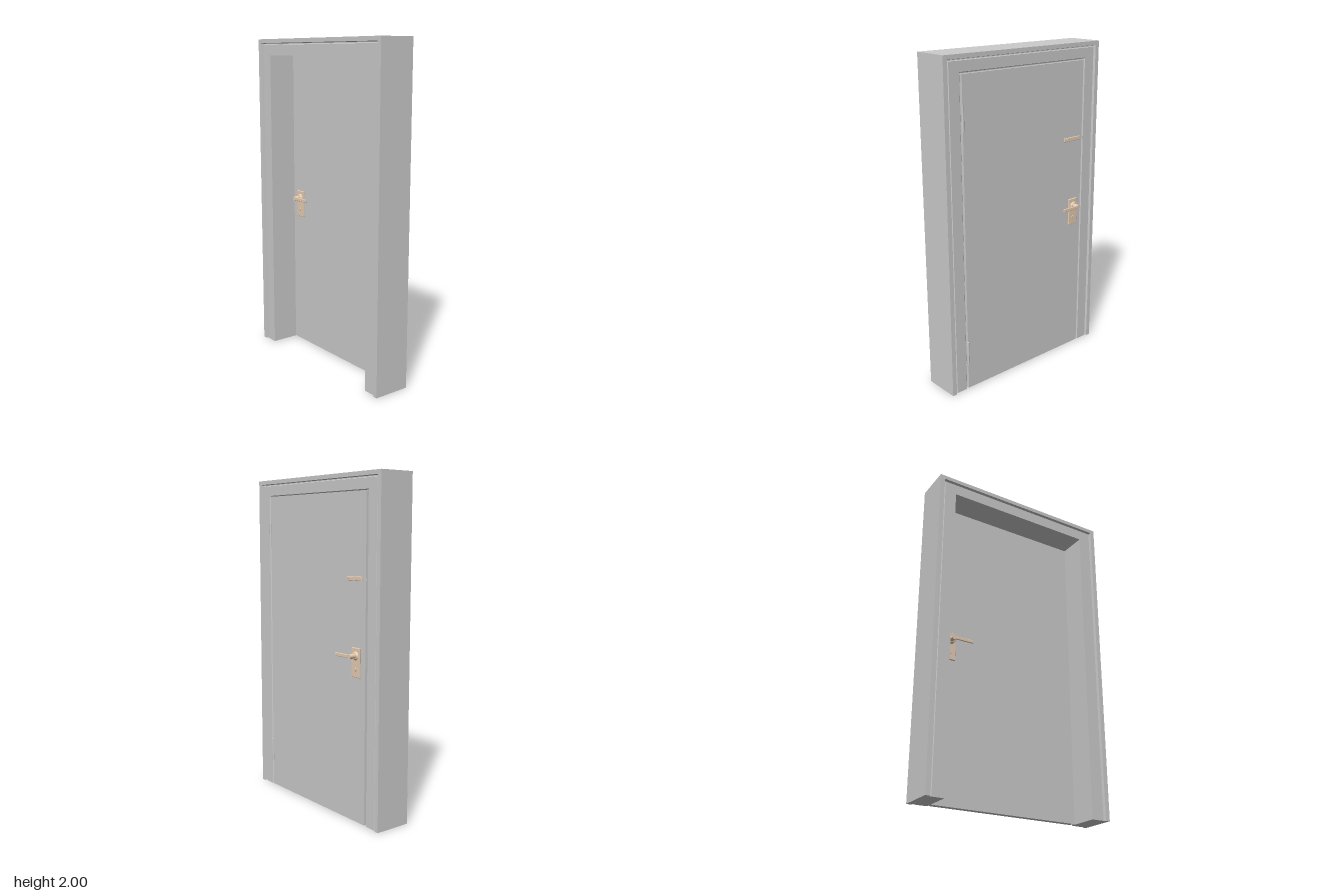
import * as THREE from 'three';
import { RoundedBoxGeometry } from 'three/addons/geometries/RoundedBoxGeometry.js';

const grey = new THREE.MeshStandardMaterial({ color: 0xcccccc });
const frameGrey = new THREE.MeshStandardMaterial({ color: 0xcccccc, side: THREE.DoubleSide });
const brass = new THREE.MeshStandardMaterial({ color: 0xe6ccb2 });

function add(parent, name, geometry, material, x, y, z) {
  const mesh = new THREE.Mesh(geometry, material);
  mesh.name = name;
  mesh.position.set(x, y, z);
  parent.add(mesh);
  return mesh;
}

// Box given by its lower and upper corners
function box(parent, name, material, [x0, y0, z0], [x1, y1, z1]) {
  return add(parent, name, new THREE.BoxGeometry(x1 - x0, y1 - y0, z1 - z0), material,
    (x0 + x1) / 2, (y0 + y1) / 2, (z0 + z1) / 2);
}

// Cylinder lying along x, standing on x0
function disc(parent, name, material, r0, r1, x0, x1, y, z, sides = 32) {
  const geometry = new THREE.CylinderGeometry(r1, r0, x1 - x0, sides);
  geometry.rotateZ(-Math.PI / 2);
  return add(parent, name, geometry, material, (x0 + x1) / 2, y, z);
}

// Door frame: a stepped profile swept up, across and down with mitred corners
function frameGeometry() {
  const profile = [ // distance inward from the outer edge, x
    [0, -0.14], [0, 0.087], [0.028, 0.087], [0.032, 0.073], [0.038, 0.073], [0.041, 0.078],
    [0.11, 0.078], [0.115, 0.073], [0.115, -0.128],
    [0.041, -0.128], [0.038, -0.123], [0.032, -0.123], [0.028, -0.14],
  ];
  const stations = [[1, 0], [1, 1], [-1, 1], [-1, 0]]; // side, top or foot
  const point = ([side, top], [d, x]) => [x, top * (2 - d * 0.87), side * (0.59 - d)];
  const positions = [];
  for (let s = 0; s < 3; s++) {
    profile.forEach((p, i) => {
      const q = profile[(i + 1) % profile.length];
      const a = point(stations[s], p), b = point(stations[s], q);
      const c = point(stations[s + 1], q), d = point(stations[s + 1], p);
      positions.push(...a, ...b, ...c, ...a, ...c, ...d);
    });
  }
  // Feet of the two jambs
  const faces = THREE.ShapeUtils.triangulateShape(profile.map(([d, x]) => new THREE.Vector2(d, x)), []);
  for (const station of [stations[0], stations[3]]) {
    for (const face of faces) for (const i of face) positions.push(...point(station, profile[i]));
  }
  const geometry = new THREE.BufferGeometry();
  geometry.setAttribute('position', new THREE.Float32BufferAttribute(positions, 3));
  geometry.computeVertexNormals();
  return geometry;
}

// Lever handle on a back plate, built outward from x = 0
function handleSet() {
  const group = new THREE.Group();
  const z = -0.393;
  add(group, 'handlePlate', new RoundedBoxGeometry(0.012, 0.17, 0.07, 2, 0.003), brass, 0.006, 0.945, z);
  disc(group, 'handleRose', brass, 0.027, 0.018, 0.011, 0.02, 0.985, z);
  disc(group, 'handleNeck', brass, 0.014, 0.014, 0.018, 0.06, 0.985, z);
  add(group, 'handleLever', new RoundedBoxGeometry(0.009, 0.02, 0.135, 2, 0.003), brass, 0.0555, 0.985, -0.3325);
  disc(group, 'keyCylinder', brass, 0.012, 0.011, 0.01, 0.016, 0.908, z, 24);
  box(group, 'keySlot', grey, [0.015, 0.902, z - 0.002], [0.017, 0.914, z + 0.002]);
  return group;
}

export function createModel() {
  const model = new THREE.Group();

  add(model, 'doorFrame', frameGeometry(), frameGrey, 0, 0, 0);

  // Door leaf with a rebate that closes the gap to the frame
  box(model, 'doorLeaf', grey, [0.045, 0.003, -0.465], [0.08, 1.893, 0.465]);
  box(model, 'doorRebate', grey, [0.046, 0.003, -0.476], [0.062, 1.902, 0.476]);

  // Hinges
  for (const y of [0.24, 1.655]) {
    add(model, 'hinge', new THREE.CylinderGeometry(0.008, 0.008, 0.145, 20), grey, 0.082, y, 0.466);
  }

  // Handles on both faces
  const outside = handleSet();
  outside.name = 'outsideHandle';
  outside.position.x = 0.08;
  const inside = handleSet();
  inside.name = 'insideHandle';
  inside.rotation.x = Math.PI;
  inside.rotation.y = Math.PI;
  inside.rotation.x = 0;
  inside.rotation.y = 0;
  inside.scale.x = -1;
  inside.position.x = 0.045;
  model.add(outside, inside);

  // Upper night latch
  add(model, 'latchBar', new RoundedBoxGeometry(0.01, 0.024, 0.132, 2, 0.003), brass, 0.084, 1.418, -0.375);
  disc(model, 'latchKnob', brass, 0.005, 0.005, 0.085, 0.097, 1.418, -0.327, 16);
  box(model, 'latchKeeper', grey, [0.07, 1.41, -0.476], [0.083, 1.426, -0.466]);

  return model;
}
